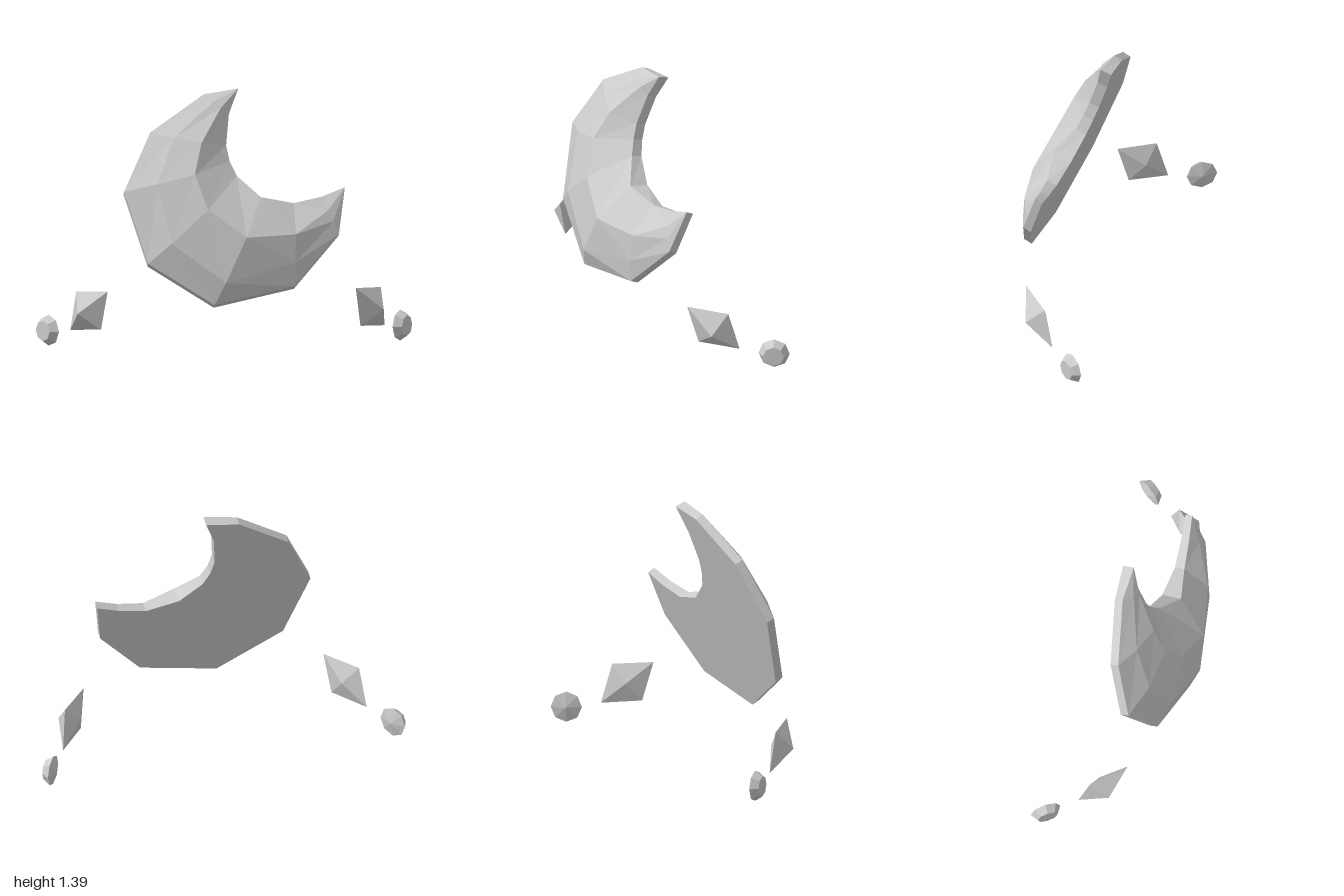
import * as THREE from 'three';
import { ConvexGeometry } from 'three/addons/geometries/ConvexGeometry.js';

const material = new THREE.MeshStandardMaterial({ color: 0xcccccc, flatShading: true });

// The crescent leans back on this plane; h is the height in front of it
const planeZ = (y) => 0.335 - 0.341 * y;
const onFront = (x, y, h) => new THREE.Vector3(x, y, planeZ(y) + h);
const onBack = (x, y) => new THREE.Vector3(x, y - 0.02, planeZ(y - 0.02));

// Stations along the crescent:
// outer x, y, inner x, y, first ridge position, height, second ridge position, height, inner rim height
const stations = [
  [-0.13, 1.36, 0, 1.26, 0.35, 0.085, 0.65, 0.095, 0.06],
  [-0.42, 1.17, -0.02, 1.1, 0.3, 0.11, 0.65, 0.15, 0.06],
  [-0.57, 0.87, -0.005, 1.02, 0.3, 0.13, 0.65, 0.175, 0.06],
  [-0.455, 0.5, 0.03, 0.945, 0.25, 0.13, 0.65, 0.19, 0.065],
  [-0.11, 0.285, 0.15, 0.84, 0.22, 0.13, 0.65, 0.195, 0.11],
  [0.32, 0.375, 0.33, 0.8, 0.3, 0.1, 0.65, 0.14, 0.06],
  [0.565, 0.64, 0.48, 0.83, 0.35, 0.07, 0.65, 0.075, 0.05],
];

function tipRing(x, y, h) {
  const f = onFront(x, y, h), b = onBack(x, y);
  return [b, f, f, f, f, b];
}

function crescentGeometry() {
  const rings = stations.map(([ox, oy, ix, iy, t1, h1, t2, h2, hi]) => {
    const ridge = (t, h) => onFront(ox + (ix - ox) * t, oy + (iy - oy) * t, h);
    return [onBack(ox, oy), onFront(ox, oy, 0.05), ridge(t1, h1), ridge(t2, h2), onFront(ix, iy, hi), onBack(ix, iy)];
  });
  rings.unshift(tipRing(0.055, 1.39, 0.065));
  rings.push(tipRing(0.605, 0.875, 0.045));

  const points = [];
  const tri = (a, b, c) => {
    if (new THREE.Triangle(a, b, c).getArea() > 1e-7) points.push(a, b, c);
  };
  for (let i = 0; i < rings.length - 1; i++) {
    for (let j = 0; j < 6; j++) {
      const k = (j + 1) % 6;
      tri(rings[i][j], rings[i + 1][j], rings[i][k]);
      tri(rings[i + 1][j], rings[i + 1][k], rings[i][k]);
    }
  }
  const geometry = new THREE.BufferGeometry().setFromPoints(points);
  geometry.computeVertexNormals();
  return geometry;
}

// Four-sided gem: a slanted rhombus with a tall outer and a shallow inner apex
function gemGeometry(side) {
  return new ConvexGeometry([
    [0.66, 0.34, 0.112], [0.81, 0.32, -0.052], [0.836, 0.108, -0.107], [0.69, 0.13, 0.06],
    [0.815, 0.215, 0.055], [0.722, 0.225, -0.025],
  ].map(([x, y, z]) => new THREE.Vector3(side * x, y, z)));
}

// Small round stud: flat outer face, bevelled rim, shallow cone behind
function studGeometry() {
  const profile = [[0, -0.02], [0.083, 0], [0.055, 0.042], [0, 0.042]];
  return new THREE.LatheGeometry(profile.map(([r, y]) => new THREE.Vector2(r, y)), 8);
}

export function createModel() {
  const group = new THREE.Group();
  const add = (name, geometry) => {
    const mesh = new THREE.Mesh(geometry, material);
    mesh.name = name;
    group.add(mesh);
    return mesh;
  };

  add('crescent', crescentGeometry());

  for (const side of [1, -1]) {
    const label = side > 0 ? 'left' : 'right';
    add(label + 'Gem', gemGeometry(side));

    const stud = add(label + 'Stud', studGeometry());
    stud.position.set(side * 0.935, 0.086, -0.26);
    // lay the stud's axis horizontally, then swing it outward
    stud.rotation.set(Math.PI / 2, 0, 0);
    stud.rotateOnWorldAxis(new THREE.Vector3(0, 1, 0), side * Math.atan2(0.82, 0.58));
  }
  return group;
}
